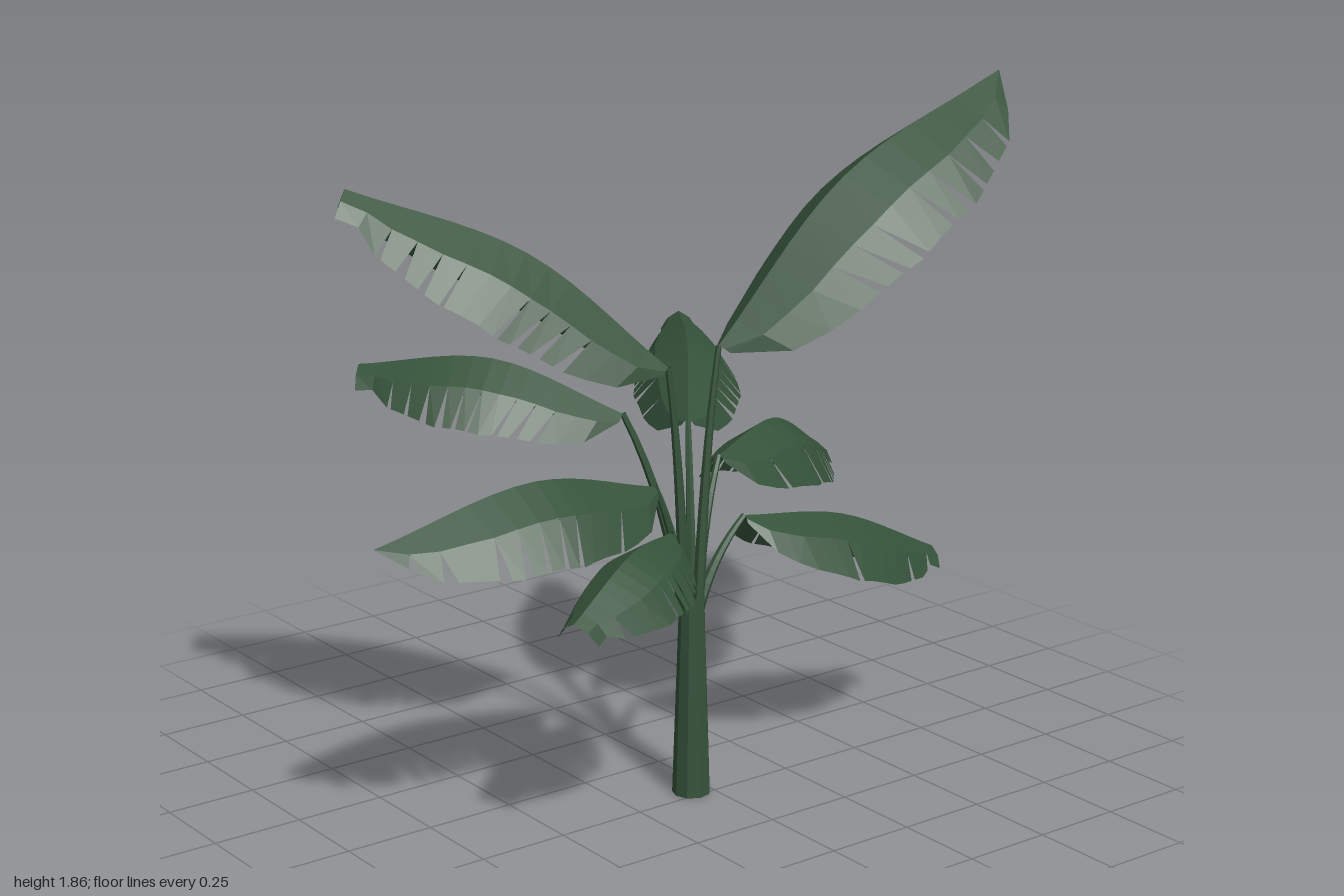
import * as THREE from 'three';

const V = (x, y, z) => new THREE.Vector3(x, y, z);
const green = new THREE.MeshStandardMaterial({ color: 0x35523a, flatShading: true, side: THREE.DoubleSide });
const AXIS = V(0.22, 0, 0.055);

// Small seeded generator, for the tears in the leaf margins
function seeded(seed) {
  let s = seed * 7919 + 17;
  return () => (s = (s * 16807) % 2147483647) / 2147483647;
}

// Blade width along its length, 0..1, as [t, width] steps
const OUTLINE = [[0, 0.12], [0.05, 0.48], [0.2, 0.8], [0.45, 1], [0.7, 0.93], [0.9, 0.58], [1, 0]];
function widthAt(t, tip) {
  const i = Math.max(1, OUTLINE.findIndex(p => p[0] >= t - 1e-6));
  const [t0, w0] = OUTLINE[i - 1], [t1, w1] = OUTLINE[i];
  const w = w0 + (w1 - w0) * (t - t0) / (t1 - t0);
  return t > 0.7 ? Math.max(w, tip) : w;
}

// Roof-shaped blade along a rib curve: two panels a side, the outer one steeper and torn
function bladeGeometry(rib, half, droop, tip, seed) {
  const rand = seeded(seed), pos = [], STRIPS = 14;
  const point = (t, across, s) => {
    t = Math.min(1, t);
    const T = rib.getTangent(t);
    const side = T.clone().cross(V(0, 1, 0)).normalize();
    const up = side.clone().cross(T);
    const w = widthAt(t, tip);
    const fall = across < 1 ? 0.38 * across / 0.6 : 1;
    return rib.getPoint(t)
      .addScaledVector(side, s * half * w * across)
      .addScaledVector(up, -droop * w * fall);
  };
  const quad = (a, b, c, d, s) => {
    const order = s > 0 ? [a, c, b, b, c, d] : [a, b, c, b, d, c];
    order.forEach(p => pos.push(p.x, p.y, p.z));
  };
  const sweep = t => t + 0.04 * Math.sin(Math.PI * t);
  for (const s of [-1, 1]) {
    let gap = 0;
    for (let i = 0; i < STRIPS; i++) {
      const t0 = i / STRIPS, t1 = (i + 1) / STRIPS;
      const next = i > 1 && i < STRIPS - 1 && rand() < 0.65 ? 0.008 + 0.014 * rand() : 0;
      const m0 = point(t0, 0.6, s), m1 = point(t1, 0.6, s);
      quad(point(t0, 0, s), point(t1, 0, s), m0, m1, s);
      quad(m0, m1, point(sweep(t0) + gap, 1, s), point(sweep(t1) - next, 1, s), s);
      gap = next * 0.6;
    }
  }
  const g = new THREE.BufferGeometry();
  g.setAttribute('position', new THREE.Float32BufferAttribute(pos, 3));
  g.computeVertexNormals();
  return g;
}

// Tube that narrows from r0 to r1
function taperedTube(curve, r0, r1, sides = 6, steps = 8) {
  const g = new THREE.TubeGeometry(curve, steps, 1, sides);
  const p = g.attributes.position;
  for (let i = 0; i < p.count; i++) {
    const t = Math.floor(i / (sides + 1)) / steps;
    const c = curve.getPointAt(t);
    const v = V(0, 0, 0).fromBufferAttribute(p, i).sub(c).multiplyScalar(r0 + (r1 - r0) * t).add(c);
    p.setXYZ(i, v.x, v.y, v.z);
  }
  g.computeVertexNormals();
  return g;
}

// Rib points from base to tip, half width, droop of the margin, bluntness of the tip
const LEAVES = [
  { name: 'frontTopLeaf', rib: [[0.2, 1.19, 0.12], [-0.03, 1.49, 0.4], [-0.29, 1.66, 0.78]], half: 0.19, droop: 0.19, tip: 0.35 },
  { name: 'frontRightLeaf', rib: [[0.11, 1.06, 0.2], [-0.12, 1.2, 0.45], [-0.38, 1.17, 0.7]], half: 0.17, droop: 0.16, tip: 0.35 },
  { name: 'frontMiddleLeaf', rib: [[0.21, 0.88, 0.17], [0.2, 0.96, 0.54], [0.165, 0.86, 1]], half: 0.19, droop: 0.18, tip: 0 },
  { name: 'frontLeftLeaf', rib: [[0.25, 0.76, 0.15], [0.37, 0.78, 0.36], [0.49, 0.68, 0.63]], half: 0.15, droop: 0.14, tip: 0.4 },
  { name: 'backTopLeaf', rib: [[0.22, 1.23, -0.03], [0.22, 1.63, -0.45], [0.22, 1.86, -1]], half: 0.24, droop: 0.2, tip: 0 },
  { name: 'backRightLeaf', rib: [[0.09, 1.0, -0.03], [-0.2, 1.12, -0.25], [-0.54, 1.11, -0.48]], half: 0.15, droop: 0.15, tip: 0.35 },
  { name: 'backMiddleLeaf', rib: [[0.16, 0.91, -0.08], [-0.01, 0.92, -0.4], [-0.23, 0.74, -0.75]], half: 0.16, droop: 0.17, tip: 0.35 },
  { name: 'backLowLeaf', rib: [[0.22, 0.75, -0.12], [0.22, 0.69, -0.46], [0.22, 0.53, -0.8]], half: 0.17, droop: 0.15, tip: 0.35 },
];

export function createModel() {
  const plant = new THREE.Group();
  plant.name = 'broadleafPlant';
  const add = (parent, name, geometry) => {
    const mesh = new THREE.Mesh(geometry, green);
    mesh.name = name;
    parent.add(mesh);
    return mesh;
  };

  // Hollow tapering trunk
  add(plant, 'trunk', new THREE.CylinderGeometry(0.034, 0.052, 0.56, 9, 3, true))
    .position.set(AXIS.x, 0.28, AXIS.z);

  LEAVES.forEach((leaf, i) => {
    const group = new THREE.Group();
    group.name = leaf.name;
    const rib = new THREE.CatmullRomCurve3(leaf.rib.map(p => V(...p)));
    add(group, 'blade', bladeGeometry(rib, leaf.half, leaf.droop, leaf.tip, i + 1));

    // Stalk rises from the trunk rim and bends out into the rib
    const base = rib.getPoint(0);
    const out = V(base.x - AXIS.x, 0, base.z - AXIS.z);
    const start = V(AXIS.x, 0.52, AXIS.z).addScaledVector(out.clone().normalize(), 0.022);
    const bend = start.clone().lerp(base, 0.6).addScaledVector(out, -0.25);
    const stalk = new THREE.QuadraticBezierCurve3(start, bend, base);
    add(group, 'stalk', taperedTube(stalk, 0.017, 0.008));
    plant.add(group);
  });
  return plant;
}
